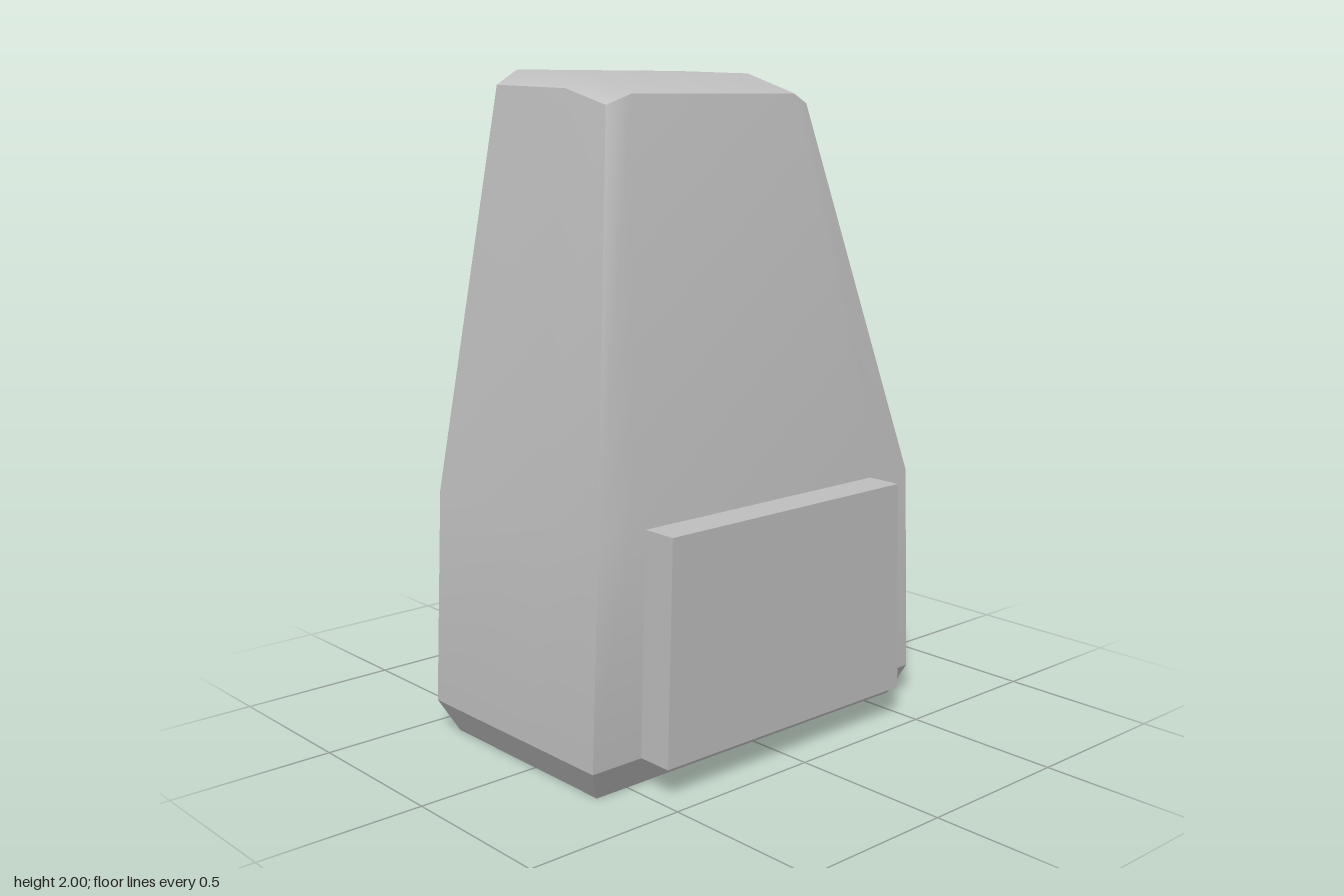
import * as THREE from 'three';

// Surface through rows of points; columns run left to right and rows upward as seen from outside.
function patch(rows) {
  const n = rows[0].length, index = [];
  for (let r = 0; r < rows.length - 1; r++) {
    for (let c = 0; c < n - 1; c++) {
      const a = r * n + c, b = a + 1, d = a + n, e = d + 1;
      index.push(a, b, e, a, e, d);
    }
  }
  const g = new THREE.BufferGeometry();
  g.setAttribute('position', new THREE.Float32BufferAttribute(rows.flat(2), 3));
  g.setIndex(index);
  g.computeVertexNormals();
  return g;
}

export function createModel() {
  const model = new THREE.Group();
  model.name = 'backpack';
  const grey = new THREE.MeshStandardMaterial({ color: 0xc0c0c0 });
  grey.name = 'plain grey';
  const add = (name, geometry) => {
    const mesh = new THREE.Mesh(geometry, grey);
    mesh.name = name;
    model.add(mesh);
    return mesh;
  };

  // Cross-sections: height, half width, front z, back z
  const floor = [0, 0.61, 0.285, -0.385];
  const hem = [0.095, 0.655, 0.325, -0.437];
  const waist = [0.755, 0.627, 0.325, -0.432];

  // Lid rows from front to back: depth, edge height, crown height, crown depth
  const lid = [[0.09, 1.9, 1.93, 0.11], [-0.09, 1.945, 1.99, -0.09], [-0.42, 1.955, 2, -0.42]]
    .map(([z, y, crown, cz]) => [[-0.395, y, z], [-0.32, crown, cz], [0.32, crown, cz], [0.395, y, z]]);

  // Points along each wall of a cross-section
  const across = ([y, w], z) => [-1, -0.81, 0.81, 1].map((k) => [k * w, y, z]);
  const front = (s) => across(s, s[2]);
  const back = (s) => across(s, s[3]).reverse();
  const left = ([y, w, zf, zb]) => [0, 0.353, 1].map((t) => [w, y, zf + (zb - zf) * t]);
  const right = (s) => left(s).map(([x, y, z]) => [-x, y, z]).reverse();

  // Walls of the bag, and the bevelled hem below them
  const walls = {
    front: [front, lid[0]],
    back: [back, [...lid[2]].reverse()],
    left: [left, lid.map((row) => row[3])],
    right: [right, lid.map((row) => row[0]).reverse()],
  };
  for (const [side, [line, rim]] of Object.entries(walls)) {
    add(side + 'Wall', patch([line(hem), line(waist), rim]));
    add(side + 'Hem', patch([line(floor), line(hem)]));
  }

  // Rounded lid and flat underside
  add('lid', patch(lid));
  add('underside', patch([across(floor, floor[3]), across(floor, floor[2])]));

  // Front pocket, slightly narrower at the top
  const outline = new THREE.Shape([[-0.48, 0.095], [0.48, 0.095], [0.46, 0.755], [-0.46, 0.755]]
    .map(([x, y]) => new THREE.Vector2(x, y)));
  add('frontPocket', new THREE.ExtrudeGeometry(outline, { depth: 0.113, bevelEnabled: false }))
    .position.z = 0.325;

  return model;
}
